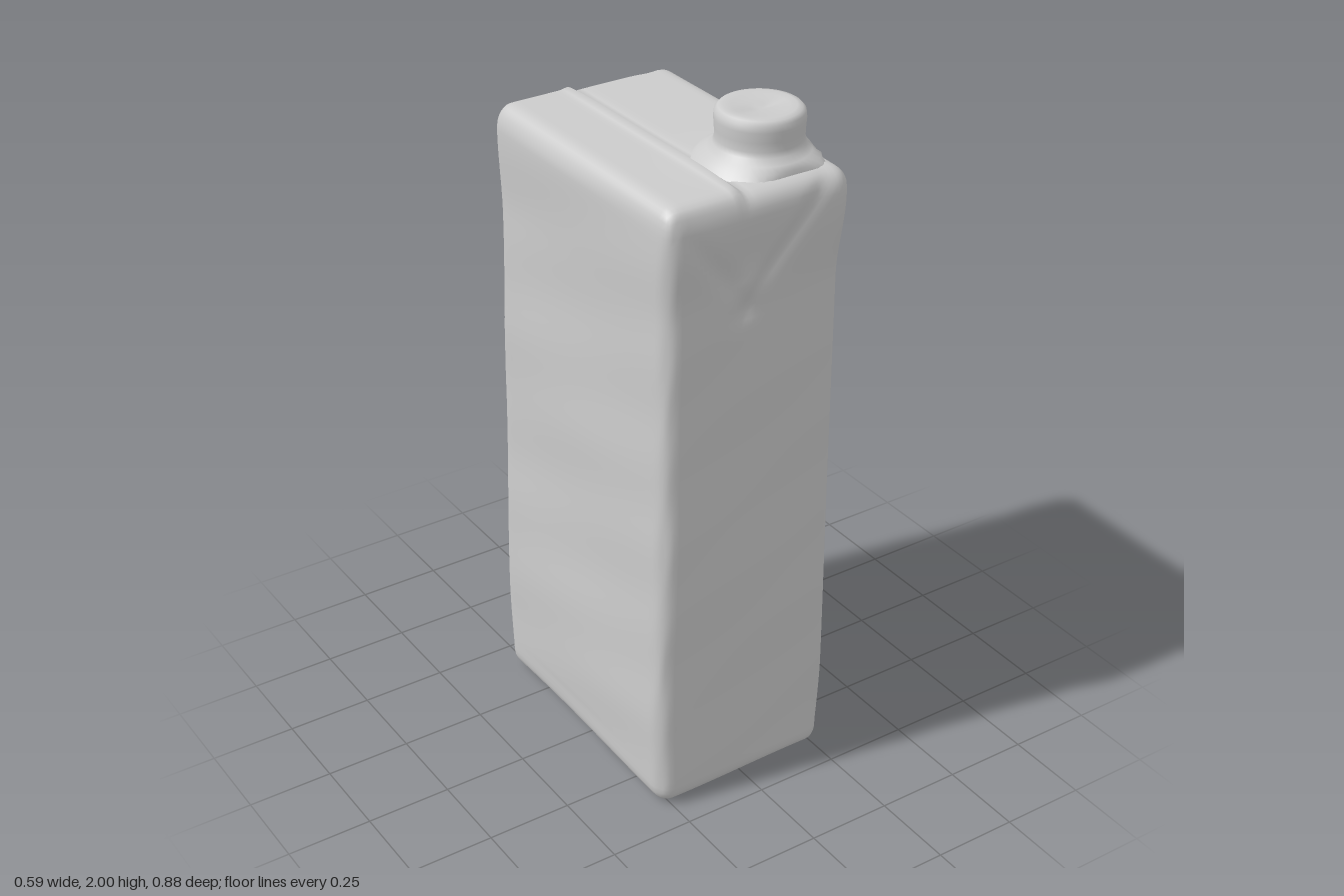
import * as THREE from 'three';
import { mergeVertices } from 'three/addons/utils/BufferGeometryUtils.js';

const material = new THREE.MeshStandardMaterial({ color: 0xcccccc, roughness: 0.8 });
const bump = (d, w) => Math.exp(-(d * d) / (w * w));

// Side positions at several heights: [y, left x, right x, front z, back z]
const SIDES = [
  [0.0, 0.272, -0.288, 0.415, -0.436],
  [0.3, 0.284, -0.294, 0.417, -0.44],
  [1.0, 0.276, -0.283, 0.423, -0.434],
  [1.55, 0.275, -0.277, 0.424, -0.424],
  [1.78, 0.29, -0.282, 0.438, -0.431],
  [1.87, 0.288, -0.28, 0.432, -0.428],
];

function sidesAt(y) {
  let i = 0;
  while (i < SIDES.length - 2 && y > SIDES[i + 1][0]) i++;
  const a = SIDES[i], b = SIDES[i + 1];
  const t = THREE.MathUtils.smoothstep(y, a[0], b[0]);
  return a.map((v, k) => v + (b[k] - v) * t);
}

// Carton body: a fine box, rounded at the edges and then gently warped
function bodyGeometry() {
  const H = 1.855, R = 0.048, half = new THREE.Vector3(0.28, H / 2, 0.43);
  let geo = new THREE.BoxGeometry(0.56, H, 0.86, 36, 96, 48);
  geo.deleteAttribute('uv');
  geo.deleteAttribute('normal');
  geo = mergeVertices(geo);
  const p = geo.attributes.position;
  const v = new THREE.Vector3(), inner = new THREE.Vector3();
  const limit = half.clone().subScalar(R);
  for (let i = 0; i < p.count; i++) {
    v.fromBufferAttribute(p, i);
    inner.copy(v).clamp(limit.clone().negate(), limit);
    v.sub(inner).normalize().multiplyScalar(R).add(inner);
    let x = v.x, y = v.y + H / 2, z = v.z;
    const ux = x / half.x, uz = z / half.z;
    const [, left, right, front, back] = sidesAt(y);
    x = THREE.MathUtils.lerp(right, left, (ux + 1) / 2);
    z = THREE.MathUtils.lerp(back, front, (uz + 1) / 2);

    // Folded gable triangles with a small pinch at the tip, front and back
    if (Math.abs(uz) > 0.9) {
      const s = Math.sign(uz);
      const fold = Math.abs(x + 0.03) - (y - 1.56) * 0.85;
      if (y > 1.5) z -= s * 0.008 * bump(fold, 0.035) * (1 - Math.abs(ux) ** 4);
      z += s * 0.01 * bump(x + 0.03, 0.04) * bump(y - 1.6, 0.05);
      z -= s * 0.008 * bump(x + 0.03, 0.05) * bump(y - 1.53, 0.03);
    }
    // Slight paper ripples on the walls
    const ripple = 0.0015 * Math.sin(9 * y + 5 * x + 4 * z) + 0.001 * Math.sin(23 * y - 11 * x - 7 * z);
    if (Math.abs(uz) > 0.98) z += Math.sign(uz) * ripple;
    if (Math.abs(ux) > 0.98) x += Math.sign(ux) * ripple;

    // Roof: overlapping seam and a low swelling below the spout
    if (y > 1.7) {
      const lift = THREE.MathUtils.smoothstep(y, 1.8, H);
      const inside = 1 - Math.abs(uz) ** 6;
      y += lift * (0.012 * THREE.MathUtils.smoothstep(-x, 0.03, 0.06)
        + inside * (0.014 * bump(x + 0.055, 0.014) - 0.006 * bump(x + 0.03, 0.015))
        + 0.012 * bump(Math.hypot(x - 0.13, z - 0.24), 0.15));
    }
    // Underside: uneven floor
    if (y < 0.1) y += 0.012 + 0.006 * Math.sin(6 * z + 2.5) + 0.003 * Math.sin(9 * x);
    p.setXYZ(i, x, y, z);
  }
  geo.computeVertexNormals();
  return geo;
}

// Screw cap: flared neck, soft rim and a shallow groove across the top
function capGeometry() {
  const profile = [
    [0.185, 1.845], [0.16, 1.872], [0.137, 1.884], [0.122, 1.9], [0.117, 1.915],
    [0.118, 1.94], [0.12, 1.968], [0.118, 1.986], [0.109, 1.996], [0.095, 1.999],
    [0.075, 1.997], [0.05, 1.995], [0.025, 1.994], [0, 1.994],
  ].map(([r, y]) => new THREE.Vector2(r, y));
  let geo = new THREE.LatheGeometry(profile, 48);
  geo.deleteAttribute('uv');
  geo.deleteAttribute('normal');
  geo = mergeVertices(geo);
  const p = geo.attributes.position;
  for (let i = 0; i < p.count; i++) {
    const x = p.getX(i), y = p.getY(i), z = p.getZ(i);
    if (y > 1.99) p.setY(i, y - 0.009 * bump(z, 0.02) * bump(x, 0.055));
  }
  geo.computeVertexNormals();
  return geo;
}

export function createModel() {
  const group = new THREE.Group();
  group.name = 'drinkCarton';
  const body = new THREE.Mesh(bodyGeometry(), material);
  body.name = 'cartonBody';
  const cap = new THREE.Mesh(capGeometry(), material);
  cap.name = 'screwCap';
  cap.position.set(0.13, 0, 0.24);
  // Keep the flared neck inside the nearby walls
  const p = cap.geometry.attributes.position;
  for (let i = 0; i < p.count; i++) {
    p.setX(i, Math.min(p.getX(i), 0.125));
    p.setZ(i, Math.min(p.getZ(i), 0.15));
  }
  cap.geometry.computeVertexNormals();
  group.add(body, cap);
  return group;
}
